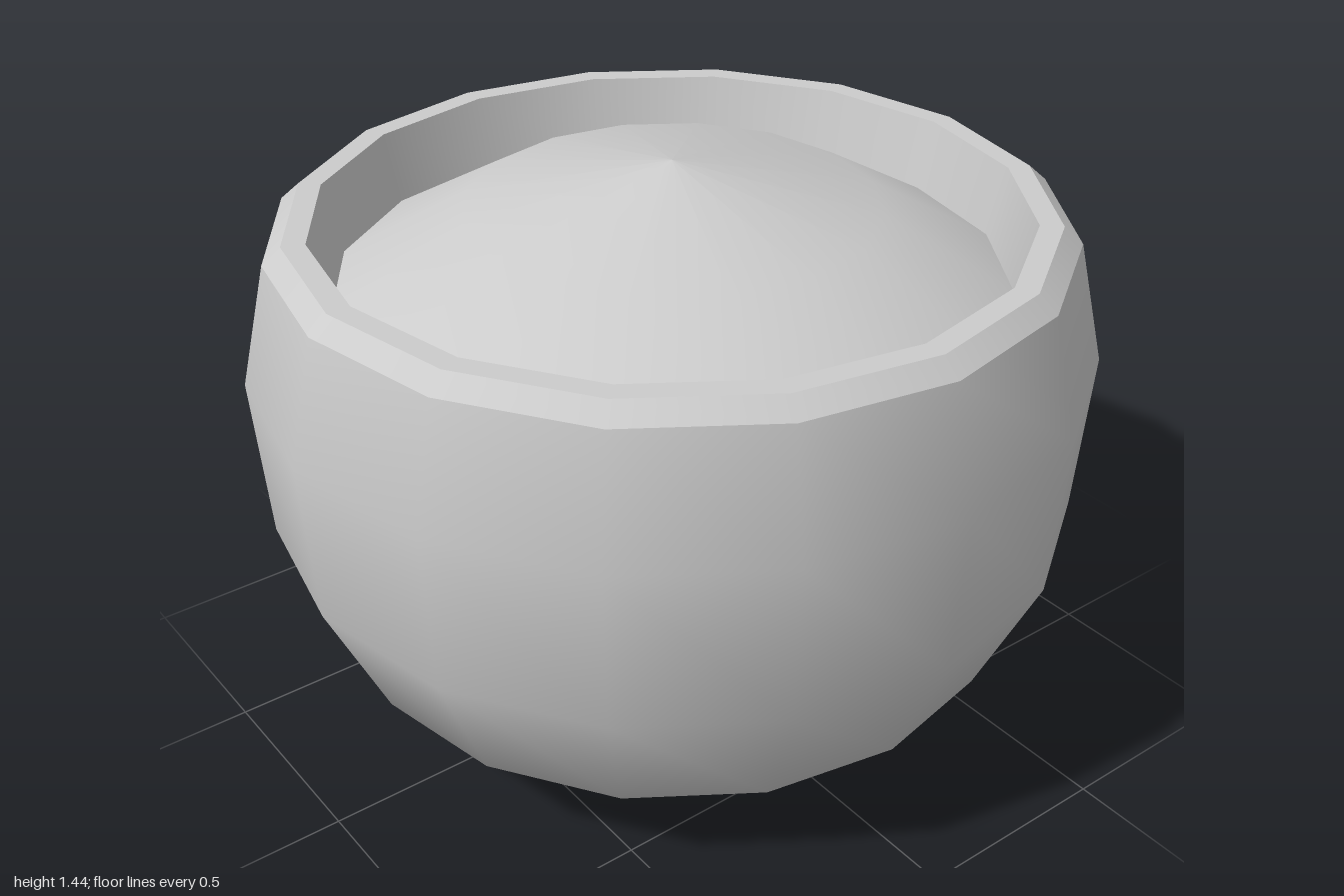
import * as THREE from 'three';

const SIDES = 16;

export function createModel() {
  const group = new THREE.Group();
  const material = new THREE.MeshStandardMaterial({ color: 0xcccccc });

  // Each band is its own lathe, smooth within and sharp where bands meet
  function band(name, profile) {
    const points = profile.map(([r, y]) => new THREE.Vector2(r, y));
    const mesh = new THREE.Mesh(new THREE.LatheGeometry(points, SIDES), material);
    mesh.name = name;
    group.add(mesh);
  }

  // Bowl, following the profile from the foot up and over the rim
  band('bowlBase', [[0, 0], [0.485, 0]]);
  band('bowlBody', [[0.485, 0], [0.83, 0.275], [0.975, 0.6], [1, 1], [0.93, 1.29]]);
  band('rimBevel', [[0.93, 1.29], [0.885, 1.33]]);
  band('rimTop', [[0.885, 1.33], [0.83, 1.33]]);
  band('innerWall', [[0.83, 1.33], [0.79, 1.16]]);

  // Domed contents filling the bowl
  band('contents', [[0.79, 1.16], [0.485, 1.335], [0, 1.44]]);

  return group;
}
